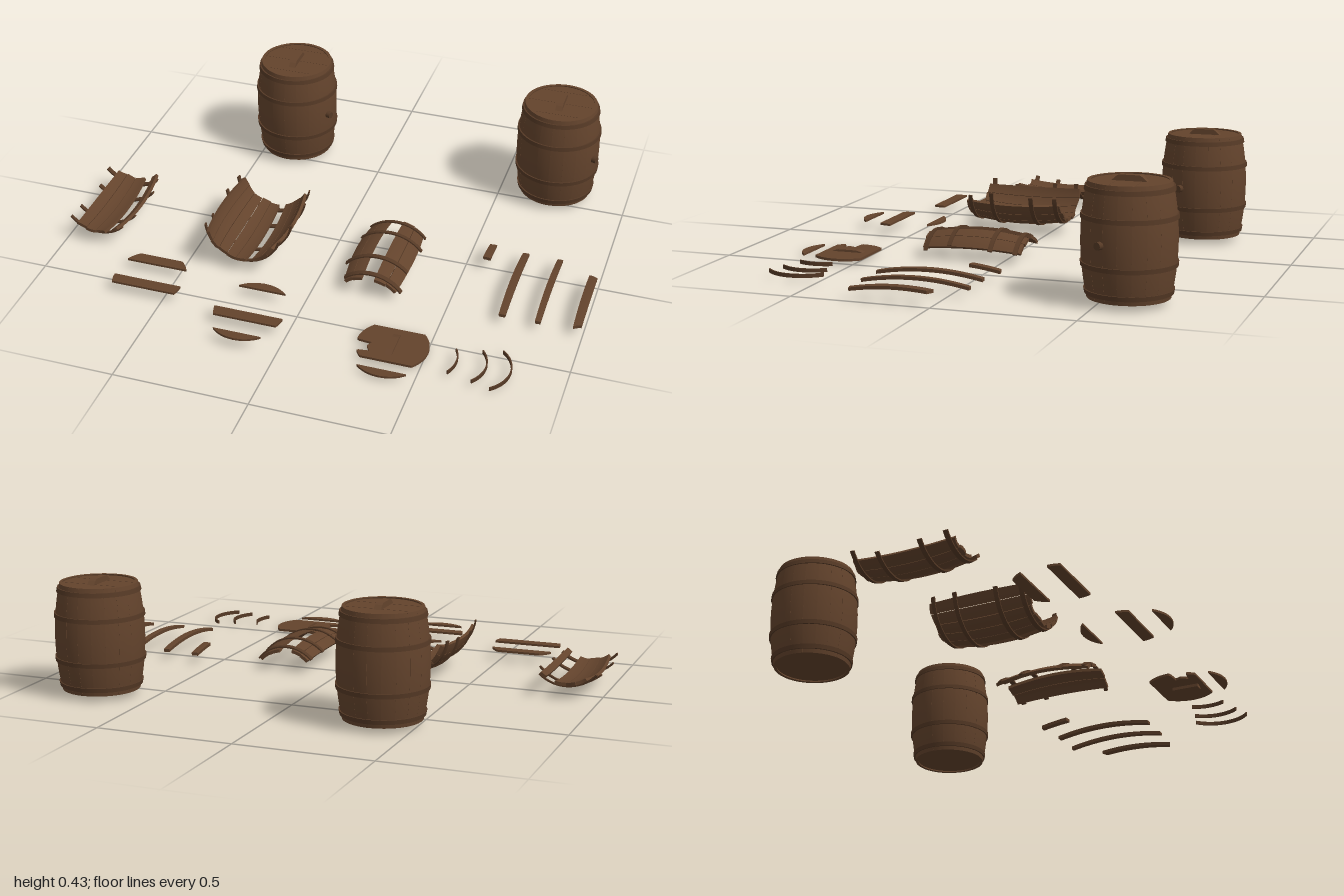
import * as THREE from 'three';

const wood = new THREE.MeshStandardMaterial({ color: 0x63432c });
wood.name = 'wood';
const hoopMat = new THREE.MeshStandardMaterial({ color: 0x553925 });
hoopMat.name = 'dark hoop';

const HALF = 0.195;                         // half the barrel length
const HOOPS = [-0.172, -0.08, 0.08, 0.172]; // hoop positions along the axis
const LID_R = 0.13;
const wallRadius = (y) => 0.161 - 0.021 * (y / HALF) ** 2;

function add(parent, name, geometry, material, x = 0, y = 0, z = 0) {
  const mesh = new THREE.Mesh(geometry, material);
  mesh.name = name;
  mesh.position.set(x, y, z);
  parent.add(mesh);
  return mesh;
}

function addGroup(parent, name, x, y, z, tilt = 0) {
  const g = new THREE.Group();
  g.name = name;
  g.position.set(x, y, z);
  g.rotation.x = tilt;
  parent.add(g);
  return g;
}

// Box bent onto the bulging barrel wall: angles a0..a1, heights y0..y1, offset from the wall
function bent(a0, a1, y0, y1, inner, outer, rag = 0) {
  const nx = Math.max(3, Math.ceil((a1 - a0) / 0.08));
  const ny = Math.max(1, Math.ceil((y1 - y0) / 0.03));
  const g = new THREE.BoxGeometry(1, 1, 1, nx, ny, 1);
  const p = g.attributes.position;
  for (let i = 0; i < p.count; i++) {
    const a = a0 + (p.getX(i) + 0.5) * (a1 - a0);
    const v = p.getY(i);
    let y = y0 + (v + 0.5) * (y1 - y0);
    if (Math.abs(v) > 0.499) y -= Math.sign(v) * rag * (0.5 + 0.5 * Math.sin(a * 97 + v * 5));
    const r = wallRadius(y) + (p.getZ(i) > 0 ? outer : inner);
    p.setXYZ(i, r * Math.sin(a), y, r * Math.cos(a));
  }
  g.computeVertexNormals();
  return g;
}

const stave = (a0, a1, y0 = -HALF, y1 = HALF, rag = 0) => bent(a0, a1, y0, y1, -0.012, 0, rag);
const hoop = (a0, a1, y) => bent(a0, a1, y - 0.008, y + 0.008, -0.001, 0.005);

// Part of a round lid between two chords; its top lies at y = 0
function lidPiece(z0, z1, h, r = LID_R, notch = null) {
  const n = 14;
  const right = [], left = [];
  for (let i = 0; i <= n; i++) {
    const z = z0 + ((z1 - z0) * i) / n;
    const x = Math.sqrt(Math.max(0, r * r - z * z));
    right.push(new THREE.Vector2(x, z));
    if (!notch || z < notch[0][1] || z > notch[notch.length - 1][1]) left.push(new THREE.Vector2(-x, z));
  }
  if (notch) {
    const at = left.findIndex((p) => p.y > notch[0][1]);
    left.splice(at, 0, ...notch.map(([x, z]) => new THREE.Vector2(x, z)));
  }
  const shape = new THREE.Shape([...right, ...left.reverse()]);
  return new THREE.ExtrudeGeometry(shape, { depth: h, bevelEnabled: false }).rotateX(Math.PI / 2);
}

// Low wooden grip with sloping ends, running along z
function gripGeometry() {
  const s = new THREE.Shape();
  s.moveTo(-0.06, 0);
  s.lineTo(-0.045, 0.014);
  s.lineTo(-0.035, 0.02);
  s.lineTo(0.035, 0.02);
  s.lineTo(0.045, 0.014);
  s.lineTo(0.06, 0);
  return new THREE.ExtrudeGeometry(s, { depth: 0.026, bevelEnabled: false })
    .translate(0, 0, -0.013).rotateY(Math.PI / 2);
}

function addBarrel(root, x, z) {
  const b = addGroup(root, 'barrel', x, 0.02 + HALF, z);
  const count = 20, step = (2 * Math.PI) / count;
  for (let i = 0; i < count; i++) {
    const lift = 0.0007 * Math.sin(i * 7.3);
    add(b, 'stave', bent(i * step, (i + 1) * step, -HALF, HALF, -0.012, lift), wood);
  }
  HOOPS.forEach((y) => add(b, 'hoop', hoop(0, Math.PI * 2, y), hoopMat));
  // Lid and base, each made of planks
  for (let i = 0; i < 6; i++) {
    const z0 = -LID_R + (i * LID_R) / 3;
    add(b, 'lidPlank', lidPiece(z0, z0 + LID_R / 3, 0.012), wood, 0, HALF - 0.004 - 0.0008 * (i % 2), 0);
    add(b, 'basePlank', lidPiece(z0, z0 + LID_R / 3, 0.012), wood, 0, 0.017 - HALF, 0);
  }
  add(b, 'lidGrip', gripGeometry(), wood, 0, HALF - 0.004, 0);
  // Bung on the left side
  const bung = add(b, 'bung', new THREE.CylinderGeometry(0.013, 0.014, 0.02, 16), hoopMat, 0.156, 0, 0.06);
  bung.rotation.set(0, -0.37, -Math.PI / 2, 'YXZ');
}

// Broken wall: runs of staves held by the remains of the hoops
function addBroken(root, x, y, tilt, runs, h0, h1) {
  const g = addGroup(root, 'brokenBarrel', x, y, 0.115, tilt);
  runs.forEach(([a0, a1]) => {
    const n = Math.max(1, Math.round((a1 - a0) / 0.3));
    const w = (a1 - a0) / n;
    for (let i = 0; i < n; i++) {
      add(g, 'brokenStave', stave(a0 + i * w, a0 + (i + 1) * w - 0.012, -HALF, HALF, 0.008), wood);
    }
  });
  HOOPS.forEach((p, i) => {
    const d = 0.07 * Math.sin(i * 2.4 + x * 9);
    add(g, 'brokenHoop', hoop(h0 + d, h1 + d, p), hoopMat);
  });
}

export function createModel() {
  const root = new THREE.Group();
  root.name = 'barrelSet';

  addBarrel(root, -0.375, -0.59);
  addBarrel(root, 0.71, -0.59);

  const down = Math.PI / 2, up = -Math.PI / 2;
  addBroken(root, -0.875, 0.19, down, [[-0.61, 0.28], [0.55, 0.74]], -0.8, 0.8);
  addBroken(root, -0.285, 0.19, down, [[-1.3, 0.12], [0.31, 1.15]], -1.4, 1.4);
  addBroken(root, 0.21, -0.055, up, [[-0.74, -0.185], [0.15, 0.83]], -0.8, 0.86);

  // Loose staves: x, z of the middle, height of the axis, width angle, extent along the axis
  [
    [0.58, 0.095, -0.098, 0.19, 0.065, 0.195, 0.02],
    [0.71, 0.115, -0.098, 0.18, -HALF, HALF, 0],
    [0.84, 0.115, -0.098, 0.15, -HALF, HALF, 0],
    [0.98, 0.115, -0.098, 0.21, -HALF, 0.115, 0.02],
  ].forEach(([x, z, y, w, y0, y1, rag]) => {
    const g = addGroup(root, 'looseStave', x, y, z, up);
    add(g, 'staveBoard', stave(-w / 2, w / 2, y0, y1, rag), wood);
  });

  // Loose lid planks: centre x, z and chord limits
  [
    [-0.58, 0.47, -0.1, -0.055],
    [-0.575, 0.515, 0, 0.045],
    [-0.155, 0.534, -0.13, -0.094],
    [-0.155, 0.57, 0.01, 0.055],
    [-0.155, 0.606, 0.094, 0.13],
  ].forEach(([x, z, z0, z1]) => add(root, 'looseLidPlank', lidPiece(z0, z1, 0.008), wood, x, 0.044, z));

  // Broken lid with its grip, underside batten and snapped-off edge
  const lid = addGroup(root, 'brokenLid', 0.38, 0.02, 0.57);
  const notch = [[-0.122, 0.004], [-0.075, 0.008], [-0.085, 0.03], [-0.07, 0.055], [-0.108, 0.06]];
  add(lid, 'lidBoard', lidPiece(-0.09, 0.09, 0.009, LID_R, notch), wood);
  add(lid, 'lidGrip', gripGeometry().scale(1, 0.4, 1), wood);
  add(lid, 'lidBatten', new THREE.BoxGeometry(0.03, 0.011, 0.1), wood, 0, -0.0145, 0.02);
  add(root, 'lidEdge', lidPiece(0.094, 0.13, 0.008), wood, 0.38, 0.02, 0.615);

  // Loose hoop pieces: x of the crown, z, radius, half angle
  [
    [0.62, 0.595, 0.13, 0.52],
    [0.725, 0.595, 0.13, 0.72],
    [0.812, 0.595, 0.135, 0.9],
  ].forEach(([x, z, r, a]) => {
    const s = new THREE.Shape();
    s.absarc(0, 0, r, -a, a, false);
    s.absarc(0, 0, r - 0.005, a, -a, true);
    const g = new THREE.ExtrudeGeometry(s, { depth: 0.014, bevelEnabled: false, curveSegments: 16 }).rotateX(Math.PI / 2);
    add(root, 'looseHoop', g, hoopMat, x - r, 0.029, z);
  });

  return root;
}
